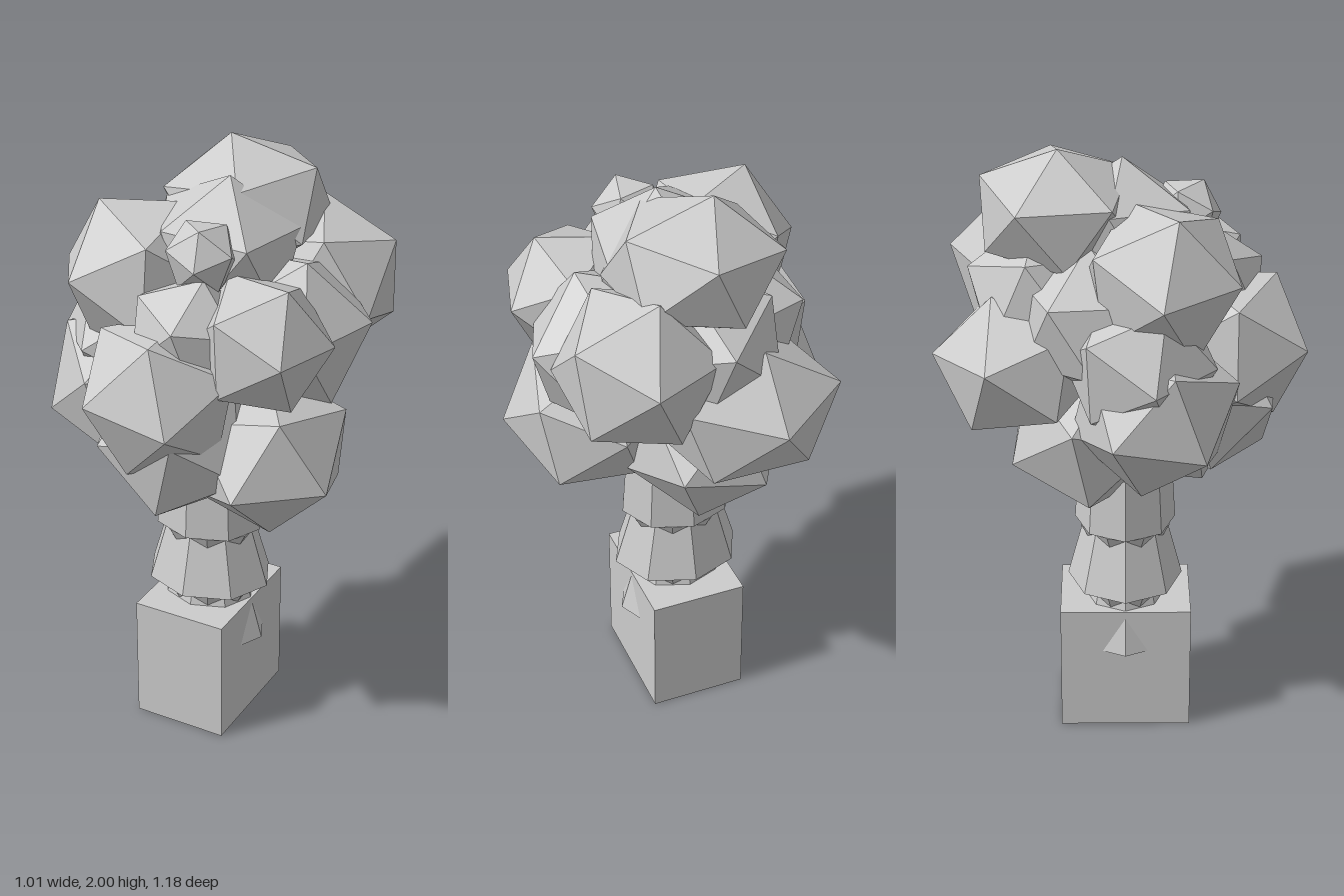
import * as THREE from 'three';

const material = new THREE.MeshStandardMaterial({ color: 0xcccccc, flatShading: true });
const vec = (a) => new THREE.Vector3(...a);

// rotation frame whose x axis is a and whose y axis leans towards b
function frame(a, b) {
  const x = a.clone().normalize();
  const y = b.clone().addScaledVector(x, -b.dot(x)).normalize();
  return new THREE.Matrix4().makeBasis(x, y, new THREE.Vector3().crossVectors(x, y));
}

// low-poly leaf clump: one corner points at "corner" (or away from the crown's middle),
// a neighbouring one leans to "next" (or upwards)
function leafClump({ at, r, corner, next, stretch }) {
  const t = (1 + Math.sqrt(5)) / 2;
  const center = vec(at);
  const out = corner ? vec(corner).sub(center) : center.clone().setY(center.y - 1.4);
  const lean = next ? vec(next).sub(center) : vec([0.3, 1, 0.2]);
  const source = frame(vec([0, 1, t]), vec([0, -1, t])).invert();
  const geometry = new THREE.IcosahedronGeometry(r, 0);
  geometry.applyMatrix4(frame(out, lean).multiply(source));
  if (stretch) geometry.scale(...stretch);
  const mesh = new THREE.Mesh(geometry, material);
  mesh.position.copy(center);
  mesh.name = 'leafClump';
  return mesh;
}

// eight-sided trunk ring, slightly wider in x than in z
function trunkRing(name, y0, y1, r0, r1, turn = 0) {
  const geometry = new THREE.CylinderGeometry(r1, r0, y1 - y0, 8);
  geometry.rotateY(turn);
  geometry.scale(1, 1, 0.88);
  const mesh = new THREE.Mesh(geometry, material);
  mesh.position.set(-0.01, (y0 + y1) / 2, 0.01);
  mesh.name = name;
  return mesh;
}

export function createModel() {
  const model = new THREE.Group();
  model.name = 'pottedTree';

  // square planter
  const planter = new THREE.Mesh(new THREE.BoxGeometry(0.327, 0.44, 0.435), material);
  planter.position.set(-0.011, 0.22, 0.011);
  planter.name = 'planter';
  model.add(planter);

  // trunk of stacked flaring tiers with narrower necks between them
  const trunk = new THREE.Group();
  trunk.name = 'trunk';
  for (const [y, r0, r1] of [[0.29, 0.2, 0.14], [0.505, 0.218, 0.155], [0.72, 0.19, 0.175]]) {
    trunk.add(trunkRing('trunkTier', y, y + 0.21, r0, r1));
    trunk.add(trunkRing('trunkNeck', y - 0.07, y, 0.14, 0.18, Math.PI / 8));
  }
  trunk.add(trunkRing('trunkTop', 0.9, 1.15, 0.16, 0.15));
  model.add(trunk);

  // crown of overlapping leaf clumps
  const crown = new THREE.Group();
  crown.name = 'crown';
  const clumps = [
    // top and upper core
    { at: [0.02, 1.785, -0.2], r: 0.255, corner: [-0.03, 2, -0.2], next: [0.27, 1.91, -0.23], stretch: [1.14, 0.86, 1.1] },
    { at: [0.03, 1.68, 0], r: 0.265 },
    // front, from top to bottom
    { at: [0.07, 1.755, 0.2], r: 0.12 },
    { at: [0.06, 1.52, 0.27], r: 0.2 },
    { at: [0, 1.34, 0.35], r: 0.27, corner: [-0.14, 1.365, 0.6], next: [0.2, 1.3, 0.54] },
    { at: [0.02, 1.16, 0.27], r: 0.27, corner: [0.05, 0.95, 0.49] },
    // left side
    { at: [0.27, 1.51, 0.2], r: 0.23, corner: [0.48, 1.52, 0.14] },
    { at: [0.24, 1.53, -0.3], r: 0.27, corner: [0.455, 1.67, -0.37], next: [0.34, 1.62, -0.545] },
    { at: [0.24, 1.45, -0.05], r: 0.275 },
    { at: [0.26, 1.1, 0.12], r: 0.275, corner: [0.515, 1.05, 0.21], next: [0.5, 1.28, -0.05], stretch: [1, 0.95, 1.12] },
    // right side
    { at: [-0.19, 1.62, 0.12], r: 0.27, corner: [-0.455, 1.62, 0.12] },
    { at: [-0.25, 1.38, 0.05], r: 0.25 },
    { at: [-0.25, 1.22, 0.1], r: 0.28, corner: [-0.51, 1.18, -0.04], next: [-0.48, 1.12, 0.27] },
    // back
    { at: [-0.1, 1.32, -0.33], r: 0.275, corner: [-0.125, 1.365, -0.6], next: [-0.365, 1.4, -0.425], stretch: [1.15, 0.88, 1] },
    { at: [0, 1.5, -0.24], r: 0.27 },
    { at: [-0.15, 1.48, -0.1], r: 0.25 },
    { at: [-0.06, 1.06, -0.12], r: 0.27, corner: [0, 0.81, -0.22], next: [-0.28, 0.87, -0.1] },
    // lower filling
    { at: [-0.1, 1.13, 0.15], r: 0.23 },
  ];
  for (const clump of clumps) crown.add(leafClump(clump));
  model.add(crown);

  return model;
}
